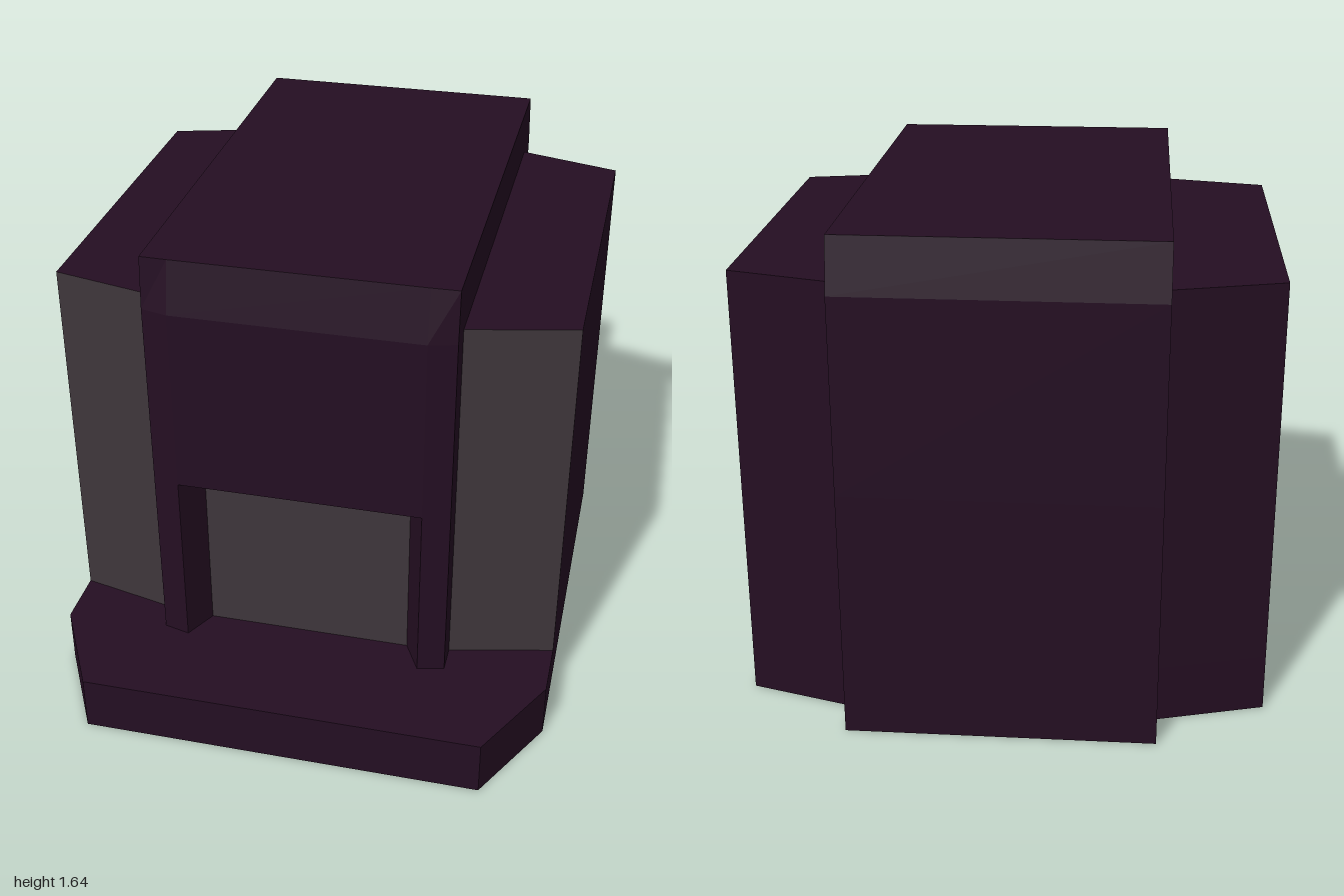
import * as THREE from 'three';

const plum = new THREE.MeshStandardMaterial({ color: 0x240e22 });
plum.name = 'dark plum';
const grey = new THREE.MeshStandardMaterial({ color: 0x3e363b });
grey.name = 'warm grey';

// Completes a symmetric outline from its right half, listed front to back as [x, z]
const symmetric = (half) => [...half, ...half.map(([x, z]) => [-x, z]).reverse()];

// Straight or tapering block between two [x, z] outlines; greySides lists the walls painted grey
function block(name, low, high, y0, y1, { top = false, bottom = false, greySides = [] } = {}) {
  const walls = [], panels = [];
  const n = low.length;
  for (let i = 0; i < n; i++) {
    const j = (i + 1) % n;
    const a = [low[i][0], y0, low[i][1]], b = [low[j][0], y0, low[j][1]];
    const c = [high[j][0], y1, high[j][1]], d = [high[i][0], y1, high[i][1]];
    (greySides.includes(i) ? panels : walls).push(...a, ...b, ...c, ...a, ...c, ...d);
  }
  const cap = (outline, y, up) => {
    const flat = outline.map(([x, z]) => new THREE.Vector2(x, -z));
    for (const t of THREE.ShapeUtils.triangulateShape(flat, [])) {
      for (const k of up ? t : [t[0], t[2], t[1]]) walls.push(outline[k][0], y, outline[k][1]);
    }
  };
  if (top) cap(high, y1, true);
  if (bottom) cap(low, y0, false);

  const geometry = new THREE.BufferGeometry();
  geometry.setAttribute('position', new THREE.Float32BufferAttribute([...walls, ...panels], 3));
  geometry.addGroup(0, walls.length / 3, 0);
  if (panels.length) geometry.addGroup(walls.length / 3, panels.length / 3, 1);
  geometry.computeVertexNormals();
  const mesh = new THREE.Mesh(geometry, [plum, grey]);
  mesh.name = name;
  return mesh;
}

export function createModel() {
  const model = new THREE.Group();
  model.name = 'building';
  const floorY = 0.193, doorY = 0.83, eaveY = 1.468, roofY = 1.643;

  // Plinth with a chamfered front step
  const plinth = symmetric([[0.68, 1], [0.853, 0.68], [0.853, -0.76], [0.5, -0.86], [0.5, -1]]);
  model.add(block('plinth', plinth, plinth, 0, floorY, { top: true, bottom: true }));

  // Central tower: lower storey with a splayed doorway recess, whose back wall is grey
  const recessed = symmetric([[0.353, 0.57], [0.41, 0.68], [0.5, 0.657], [0.5, -1]]);
  model.add(block('doorwayStorey', recessed, recessed, floorY, doorY,
    { greySides: [recessed.length - 1] }));

  // Upper storey, its underside forming the doorway ceiling
  const tower = symmetric([[0.41, 0.68], [0.5, 0.657], [0.5, -1]]);
  model.add(block('upperStorey', tower, tower, doorY, eaveY, { bottom: true }));

  // Roof tapering at front and back
  const ridge = symmetric([[0.41, 0.645], [0.5, 0.643], [0.5, -0.963]]);
  model.add(block('roof', tower, ridge, eaveY, roofY, { top: true }));

  // Side wings with grey slanted fronts
  const wing = [[0.5, 0.56], [0.853, 0.48], [0.853, -0.76], [0.5, -0.86]];
  const mirrored = [1, 0, 3, 2].map((i) => [-wing[i][0], wing[i][1]]);
  model.add(block('leftWing', wing, wing, floorY, eaveY, { top: true, greySides: [0] }));
  model.add(block('rightWing', mirrored, mirrored, floorY, eaveY, { top: true, greySides: [0] }));

  return model;
}
